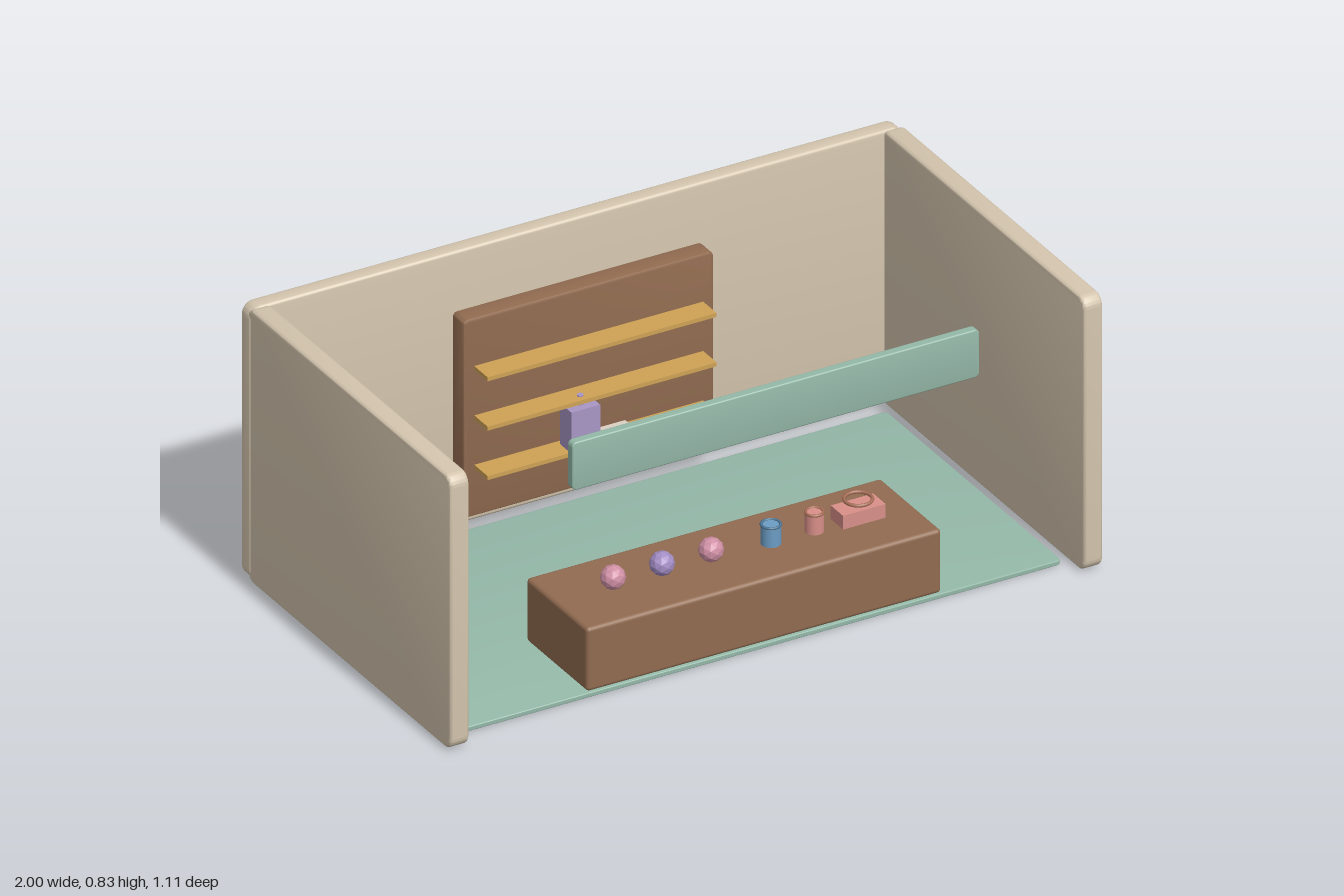
import * as THREE from 'three';
import { toCreasedNormals } from 'three/addons/utils/BufferGeometryUtils.js';
import { RoundedBoxGeometry } from 'three/addons/geometries/RoundedBoxGeometry.js';

const mat = (color, flatShading = false) => new THREE.MeshStandardMaterial({ color, flatShading });
const wallMat = mat(0xd4c5ae);
const teal = mat(0x94b8a8);
const wood = mat(0x916b50);
const shelfMat = mat(0xcfa255);
const pink = mat(0xd98f88);
const blue = mat(0x6c9cc4);
const bronze = mat(0xa86f58);
const purple = mat(0xa796c4);
const cream = mat(0xd9d0c2);

// Slab in the xy plane with rounded corners r and softly bevelled faces, centred
function slab(w, h, d, r, b) {
  const x = w / 2 - b, y = h / 2 - b, k = Math.max(r - b, 0.001);
  const s = new THREE.Shape();
  s.absarc(x - k, y - k, k, 0, Math.PI / 2);
  s.absarc(-x + k, y - k, k, Math.PI / 2, Math.PI);
  s.absarc(-x + k, -y + k, k, Math.PI, Math.PI * 1.5);
  s.absarc(x - k, -y + k, k, Math.PI * 1.5, Math.PI * 2);
  s.closePath();
  const g = new THREE.ExtrudeGeometry(s, {
    depth: d - 2 * b, bevelThickness: b, bevelSize: b, bevelSegments: 3, curveSegments: 6,
  });
  g.translate(0, 0, -d / 2 + b);
  return toCreasedNormals(g, 0.6);
}

export function createModel() {
  const model = new THREE.Group();
  model.name = 'shopStall';
  const add = (name, geometry, material, x, y, z, parent = model) => {
    const m = new THREE.Mesh(geometry, material);
    m.name = name;
    m.position.set(x, y, z);
    parent.add(m);
    return m;
  };

  // Room shell
  add('backWall', slab(2, 0.83, 0.05, 0.035, 0.008), wallMat, 0, 0.42, -0.53);
  for (const s of [1, -1]) {
    const wall = add(s > 0 ? 'leftWall' : 'rightWall',
      slab(1.08, 0.83, 0.058, 0.035, 0.008), wallMat, s * 0.969, 0.42, 0.015);
    wall.rotation.y = Math.PI / 2;
  }
  const floor = add('floor', slab(1.835, 0.93, 0.014, 0.015, 0.003), teal, 0, 0.007, 0.01);
  floor.rotation.x = -Math.PI / 2;
  add('signBoard', slab(1.245, 0.145, 0.027, 0.014, 0.004), teal, 0, 0.762, 0.537);

  // Wall display with three shelves
  add('displayBoard', slab(0.765, 0.6, 0.062, 0.015, 0.006), wood, 0, 0.355, -0.475);
  for (const y of [0.205, 0.355, 0.505]) {
    add('shelf', new THREE.BoxGeometry(0.7, 0.012, 0.075), shelfMat, 0, y, -0.41);
  }

  // Goods on the lowest shelf
  add('canister', new THREE.BoxGeometry(0.088, 0.125, 0.06), purple, -0.053, 0.273, -0.397);
  add('canisterKnob', new THREE.CylinderGeometry(0.009, 0.009, 0.03, 12), purple, -0.053, 0.35, -0.397);
  add('smallBox', new THREE.BoxGeometry(0.105, 0.028, 0.06), cream, 0.043, 0.222, -0.386);

  // Counter
  add('counter', new RoundedBoxGeometry(1.085, 0.193, 0.325, 3, 0.012), wood, 0, 0.122, 0.327);

  // Faceted balls
  const ballGeo = new THREE.IcosahedronGeometry(0.035, 1);
  [[-0.37, 0xcf8fa4], [-0.22, 0xa38cc4], [-0.07, 0xcf8fa4]].forEach(([x, c]) =>
    add('ball', ballGeo, mat(c, true), x, 0.25, 0.327));

  // Cups with raised rims
  for (const [x, m, r, rim] of [[0.113, blue, 0.028, mat(0x4c7595)], [0.246, pink, 0.026, bronze]]) {
    add('cup', new THREE.CylinderGeometry(r, r, 0.058, 20), m, x, 0.247, 0.327);
    add('cupRim', new THREE.TorusGeometry(r - 0.002, 0.004, 8, 24), rim, x, 0.276, 0.327)
      .rotation.x = Math.PI / 2;
  }

  // Box with a ring above it
  add('ringBox', new THREE.BoxGeometry(0.13, 0.042, 0.066), pink, 0.38, 0.239, 0.327);
  add('ring', new THREE.TorusGeometry(0.038, 0.005, 8, 28), bronze, 0.38, 0.278, 0.327)
    .rotation.x = Math.PI / 2;

  return model;
}
